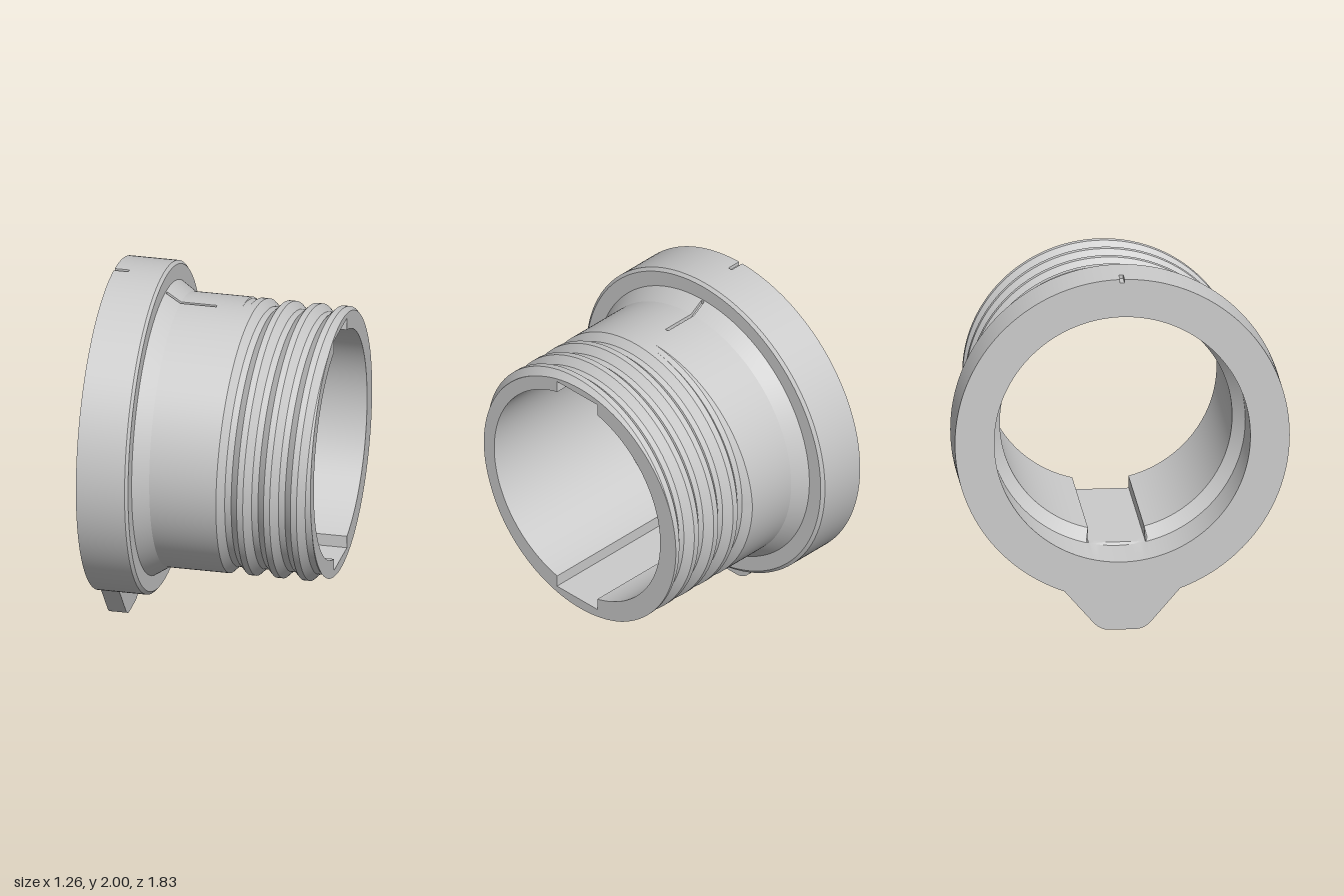
import * as THREE from 'three';
import { toCreasedNormals } from 'three/addons/utils/BufferGeometryUtils.js';

const AXIS_Y = 1.085;   // height of the collar's axis, which runs along x
const END = 0.632;      // half length
const FLANGE_R = 0.915, TUBE_R = 0.755;
const PITCH = 0.15, DEPTH = 0.04, NOTCH = 0.02;
const SLOT_R = 0.685, SLOT_HALF = 0.155, BORE_R = 0.635;
const TAU = Math.PI * 2;
const slotCorner = Math.atan2(SLOT_HALF, SLOT_R);
const slotLip = Math.asin(SLOT_HALF / BORE_R);
const notchHalf = 0.013;

// Angles round the axis: even steps plus the slot and notch edges
function columnAngles() {
  const list = [];
  for (let i = 0; i <= 180; i++) list.push((i / 180) * TAU);
  for (const a of [slotCorner, slotLip]) list.push(a, TAU - a, Math.PI - a, Math.PI + a);
  for (const a of [notchHalf, notchHalf + 0.0003]) list.push(a, TAU - a);
  return list.sort((a, b) => a - b);
}

// Helical thread grooves as [x, radius] points along one column
function threadPoints(t) {
  const pts = [];
  for (let n = 0; n < 5; n++) {
    const fades = n === 0 && t > 0.75;   // the first groove runs out to the surface
    const d = fades ? DEPTH * Math.max(0, (0.99 - t) / 0.24) : DEPTH;
    const c = 0.21 - PITCH * (fades ? 0.75 : t) + PITCH * n;
    const root = 0.018, top = root + d;
    pts.push([c - top, TUBE_R], [c - root, TUBE_R - d], [c + root, TUBE_R - d], [c + top, TUBE_R]);
  }
  // Trim at the open end
  let rEnd = TUBE_R;
  for (let i = 1; i < pts.length; i++) {
    const [a, b] = [pts[i - 1], pts[i]];
    if (a[0] <= END && b[0] > END) rEnd = a[1] + (b[1] - a[1]) * (END - a[0]) / (b[0] - a[0]);
  }
  return [...pts.map((p) => (p[0] > END ? [END, rEnd] : p)), [END, rEnd]];
}

// Bore radius including the two flat-bottomed keyways
function boreRadius(base, phi) {
  const a = Math.abs(Math.atan(Math.tan(phi)));
  return a < slotCorner + 1e-6 ? Math.max(base, SLOT_R / Math.cos(a)) : base;
}

// Closed wall section at one angle: outside, open end, bore
function section(phi) {
  const n = Math.min(phi, TAU - phi) < notchHalf + 1e-6 ? NOTCH : 0;
  const outer = [
    [-END, FLANGE_R - n], [-0.55, FLANGE_R - n], [-0.55, FLANGE_R], [-0.36, FLANGE_R],
    [-0.345, 0.897], [-0.345, 0.81], [-0.34, 0.807], [-0.34, 0.807 - n],
    [-0.26, TUBE_R - n], [-0.06, TUBE_R - n], [-0.06, TUBE_R],
  ];
  const bore = [[END, BORE_R], [-0.265, BORE_R], [-0.319, SLOT_R], [-0.335, 0.7], [-END, 0.7]]
    .map(([x, r]) => [x, r < 0.7 ? boreRadius(r, phi) : r]);
  return [...outer, ...threadPoints(phi / TAU), ...bore]
    .map(([x, r]) => new THREE.Vector3(x, AXIS_Y + r * Math.cos(phi), r * Math.sin(phi)));
}

function collarGeometry() {
  const cols = columnAngles().map(section);
  const pos = [];
  const cross = new THREE.Vector3(), e = new THREE.Vector3();
  const tri = (a, b, c) => {
    cross.subVectors(b, a).cross(e.subVectors(c, a));
    if (cross.length() > 1e-9) for (const p of [a, b, c]) pos.push(p.x, p.y, p.z);
  };
  for (let i = 0; i + 1 < cols.length; i++) {
    const A = cols[i], B = cols[i + 1];
    for (let j = 0; j < A.length; j++) {
      const k = (j + 1) % A.length;
      tri(A[j], B[j], B[k]);
      tri(A[j], B[k], A[k]);
    }
  }
  const g = new THREE.BufferGeometry();
  g.setAttribute('position', new THREE.Float32BufferAttribute(pos, 3));
  return toCreasedNormals(g, 0.45);
}

// Rounded pointer tab under the flange
function tabGeometry() {
  const a = 0.357, r = FLANGE_R - 0.002;
  const x = r * Math.sin(a), y = AXIS_Y - r * Math.cos(a);
  const s = new THREE.Shape();
  s.moveTo(-x, y);
  s.lineTo(-0.16, 0.045);
  s.quadraticCurveTo(-0.12, 0, -0.07, 0);
  s.lineTo(0.07, 0);
  s.quadraticCurveTo(0.12, 0, 0.16, 0.045);
  s.lineTo(x, y);
  s.absarc(0, AXIS_Y, r, -Math.PI / 2 + a, -Math.PI / 2 - a, true);
  const g = new THREE.ExtrudeGeometry(s, { depth: END - 0.53, bevelEnabled: false, curveSegments: 16 });
  g.rotateY(-Math.PI / 2);
  g.translate(-0.53, 0, 0);
  return toCreasedNormals(g, 0.45);
}

export function createModel() {
  const group = new THREE.Group();
  group.name = 'threadedCollar';
  const material = new THREE.MeshStandardMaterial({ color: 0xcccccc });
  const add = (name, geometry) => {
    const mesh = new THREE.Mesh(geometry, material);
    mesh.name = name;
    group.add(mesh);
  };
  add('flangedThreadedTube', collarGeometry());
  add('pointerTab', tabGeometry());
  return group;
}
